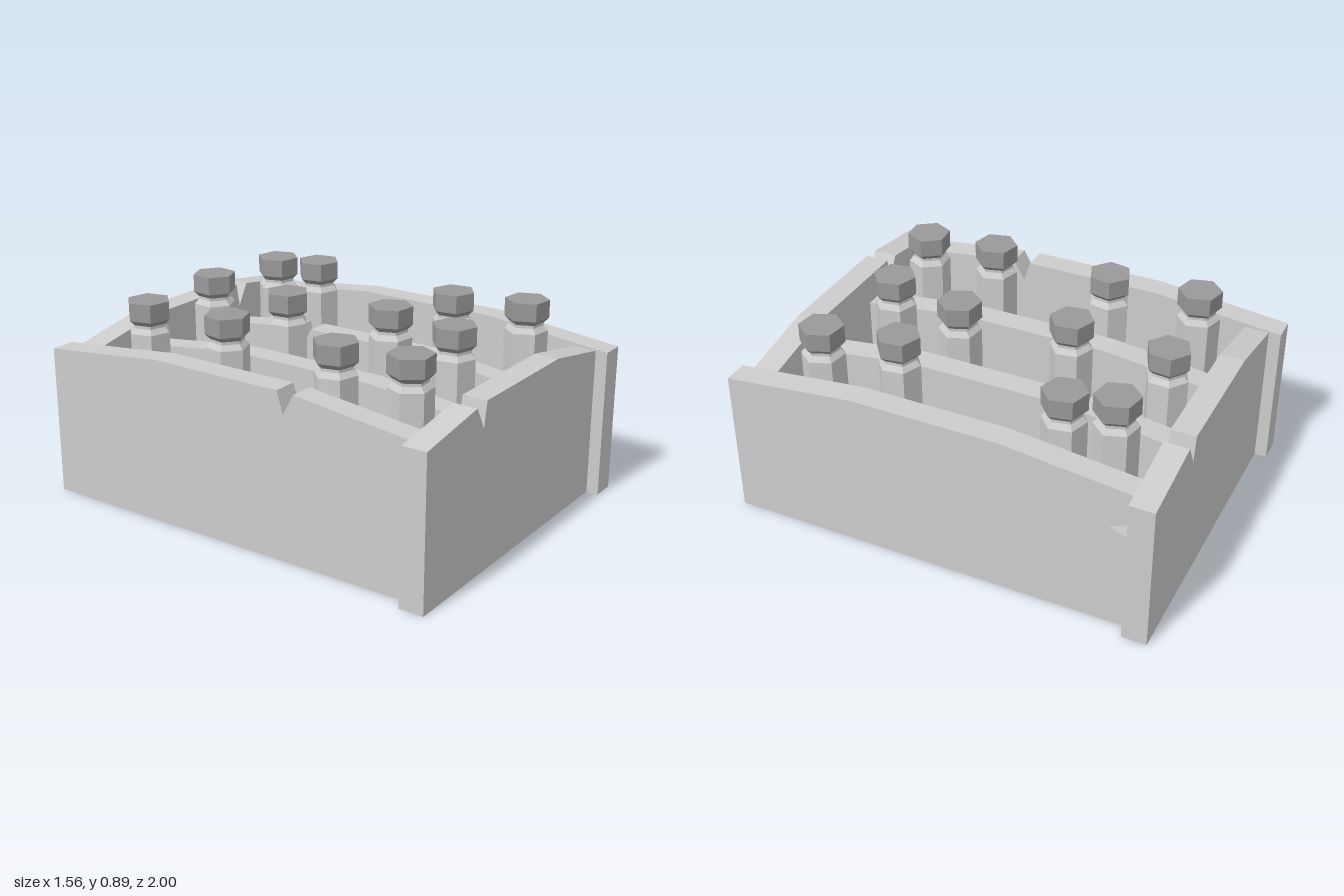
import * as THREE from 'three';

const shell = new THREE.MeshStandardMaterial({ color: 0xcccccc, side: THREE.DoubleSide, flatShading: true });
shell.name = 'light grey';
const dark = new THREE.MeshStandardMaterial({ color: 0x999999, flatShading: true });
dark.name = 'dark grey';

const T = 0.11; // plank thickness

// Plank cut from a side outline and left open along the ground
function plank(name, outline) {
  const shape = new THREE.Shape(outline.map(([u, y]) => new THREE.Vector2(u, y)));
  const full = new THREE.ExtrudeGeometry(shape, { depth: T, bevelEnabled: false });
  const p = full.attributes.position;
  const kept = [];
  for (let i = 0; i < p.count; i += 3) {
    if ([0, 1, 2].every((k) => p.getY(i + k) < 1e-4)) continue;
    for (let k = 0; k < 3; k++) kept.push(p.getX(i + k), p.getY(i + k), p.getZ(i + k));
  }
  const geometry = new THREE.BufferGeometry();
  geometry.setAttribute('position', new THREE.Float32BufferAttribute(kept, 3));
  geometry.computeVertexNormals();
  const mesh = new THREE.Mesh(geometry, shell);
  mesh.name = name;
  return mesh;
}

// Plank running along z, with its inner or outer face at x
function sidePlank(name, outline, x) {
  const mesh = plank(name, outline);
  mesh.rotation.y = -Math.PI / 2;
  mesh.position.x = x;
  return mesh;
}

// Six-sided faceted solid of revolution
function facets(name, profile, material) {
  const geometry = new THREE.LatheGeometry(profile.map(([r, y]) => new THREE.Vector2(r, y)), 6).toNonIndexed();
  geometry.computeVertexNormals();
  const mesh = new THREE.Mesh(geometry, material);
  mesh.name = name;
  return mesh;
}

function bottle(x, z, degrees) {
  const group = new THREE.Group();
  group.name = 'bottle';
  group.add(
    facets('bottleBody', [[0, 0.04], [0.095, 0.04], [0.095, 0.752], [0.075, 0.775], [0.075, 0.795]], shell),
    facets('bottleCap', [[0.074, 0.787], [0.097, 0.81], [0.097, 0.89], [0, 0.89]], dark),
  );
  group.position.set(x, 0, z);
  // the angle is that of one corner, clockwise from the back
  group.rotation.y = -THREE.MathUtils.degToRad(degrees);
  return group;
}

export function createModel() {
  const model = new THREE.Group();
  model.name = 'bottleCrate';

  // Floor, let halfway into the walls
  const floor = new THREE.Mesh(new THREE.BoxGeometry(1.32, 0.05, 1.78), shell);
  floor.name = 'floor';
  floor.position.y = 0.025;
  model.add(floor);

  // Front and back walls, one the half turn of the other
  const endOutline = [[-0.78, 0], [0.61, 0], [0.61, 0.67], [0.25, 0.735], [-0.345, 0.735],
    [-0.365, 0.625], [-0.42, 0.725], [-0.78, 0.67]];
  const front = plank('frontWall', endOutline);
  front.position.z = 0.835;
  const back = plank('backWall', endOutline);
  back.rotation.y = Math.PI;
  back.position.z = -0.835;
  model.add(front, back);

  // Side walls: one split at its end, one chipped on top
  model.add(sidePlank('leftWall', [[-0.835, 0], [1, 0], [1, 0.67], [0.4, 0.735], [-0.26, 0.735],
    [-0.835, 0.672], [-0.835, 0.53], [-0.74, 0.49], [-0.835, 0.455]], 0.72));
  model.add(sidePlank('rightWall', [[-1, 0], [0.835, 0], [0.835, 0.67], [0.3, 0.732], [0.25, 0.64],
    [0.22, 0.735], [-0.4, 0.735], [-1, 0.67]], -0.61));

  // Dividers
  const low = [[-0.835, 0.03], [0.835, 0.03], [0.835, 0.6], [0.35, 0.66]];
  model.add(sidePlank('leftDivider', [...low, [-0.26, 0.66], [-0.31, 0.56], [-0.34, 0.66],
    [-0.835, 0.6]], 0.275));
  model.add(sidePlank('rightDivider', [...low, [-0.35, 0.66], [-0.835, 0.6]], -0.17));

  // Bottles: x, z, turn
  const bottles = [
    [-0.47, -0.66, -15], [-0.44, -0.25, 10], [-0.46, 0.32, -15], [-0.425, 0.65, 25],
    [0.02, -0.7, 6], [-0.02, -0.25, -8], [0.06, 0.24, -22], [-0.015, 0.6, -10],
    [0.425, -0.64, -18], [0.48, -0.44, -12], [0.405, 0.345, -8], [0.48, 0.67, -22],
  ];
  for (const b of bottles) model.add(bottle(...b));
  return model;
}
